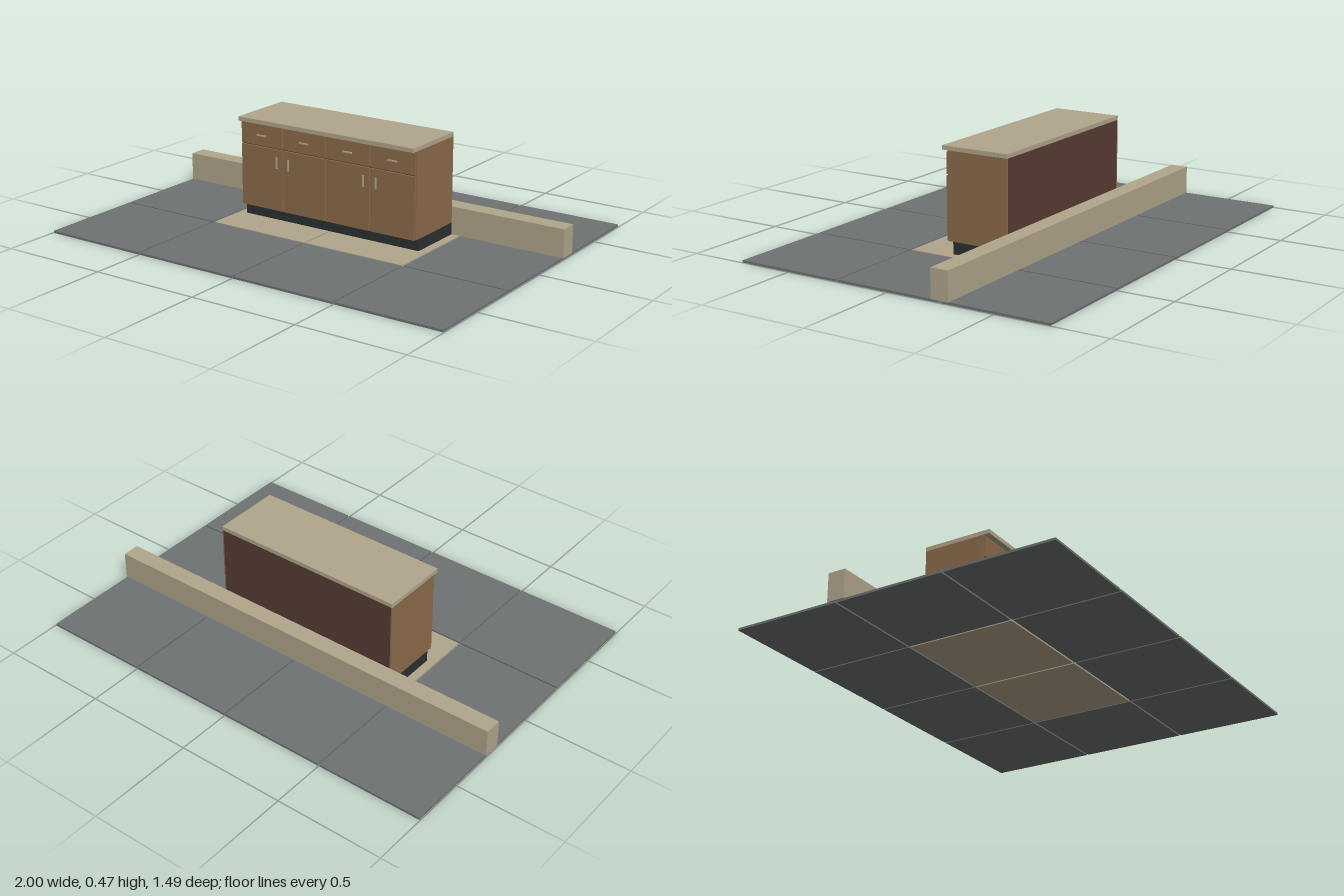
import * as THREE from 'three';

const mat = (name, color) => {
  const m = new THREE.MeshStandardMaterial({ color });
  m.name = name;
  return m;
};

export function createModel() {
  const root = new THREE.Group();
  root.name = 'kitchenCounter';
  const slate = mat('slate grey', 0x6f7272);
  const stone = mat('tan stone', 0xb1a68b);
  const wood = mat('brown wood', 0x8c6b4b);
  const darkWood = mat('dark wood', 0x593c34);
  const black = mat('charcoal', 0x2c3031);

  // Box from its minimum and maximum corners
  const box = (parent, name, material, x0, x1, y0, y1, z0, z1) => {
    const mesh = new THREE.Mesh(new THREE.BoxGeometry(x1 - x0, y1 - y0, z1 - z0), material);
    mesh.position.set((x0 + x1) / 2, (y0 + y1) / 2, (z0 + z1) / 2);
    mesh.name = name;
    parent.add(mesh);
  };

  // Floor: 4 x 3 tiles, the middle pair in tan stone
  const floor = new THREE.Group();
  floor.name = 'floor';
  root.add(floor);
  const half = 0.246;
  for (let i = 0; i < 4; i++) {
    for (let j = 0; j < 3; j++) {
      const x = -0.75 + i * 0.5, z = -0.5 + j * 0.5;
      const light = j === 1 && (i === 1 || i === 2);
      box(floor, light ? 'lightTile' : 'floorTile', light ? stone : slate,
        x - half, x + half, 0, 0.01, z - half, z + half);
    }
  }

  // Low wall behind the cabinet
  box(root, 'lowWall', stone, -1, 1, 0.01, 0.137, -0.291, -0.21);

  // Cabinet body
  const cabinet = new THREE.Group();
  cabinet.name = 'cabinet';
  root.add(cabinet);
  box(cabinet, 'toeKick', black, -0.458, 0.458, 0.01, 0.064, -0.209, 0.06);
  box(cabinet, 'carcass', darkWood, -0.452, 0.452, 0.064, 0.453, -0.209, 0.083);
  for (const s of [-1, 1]) {
    box(cabinet, 'sidePanel', wood, s * 0.455 - 0.003, s * 0.455 + 0.003, 0.064, 0.453, -0.209, 0.083);
  }
  box(cabinet, 'countertop', stone, -0.458, 0.458, 0.453, 0.472, -0.209, 0.111);

  // Four bays, each with a drawer above a door
  const bay = 0.229;
  for (let i = 0; i < 4; i++) {
    const x = (i - 1.5) * bay, w = bay / 2 - 0.003;
    box(cabinet, 'drawerFront', wood, x - w, x + w, 0.351, 0.447, 0.083, 0.092);
    box(cabinet, 'door', wood, x - w, x + w, 0.064, 0.345, 0.083, 0.092);
    box(cabinet, 'drawerHandle', stone, x - 0.024, x + 0.024, 0.394, 0.4, 0.092, 0.098);
    // Door handles sit near the meeting edge of each door pair
    const hx = (i < 2 ? -0.23 : 0.23) + (i % 2 ? 0.032 : -0.032);
    box(cabinet, 'doorHandle', stone, hx - 0.003, hx + 0.003, 0.258, 0.31, 0.092, 0.098);
  }
  return root;
}
